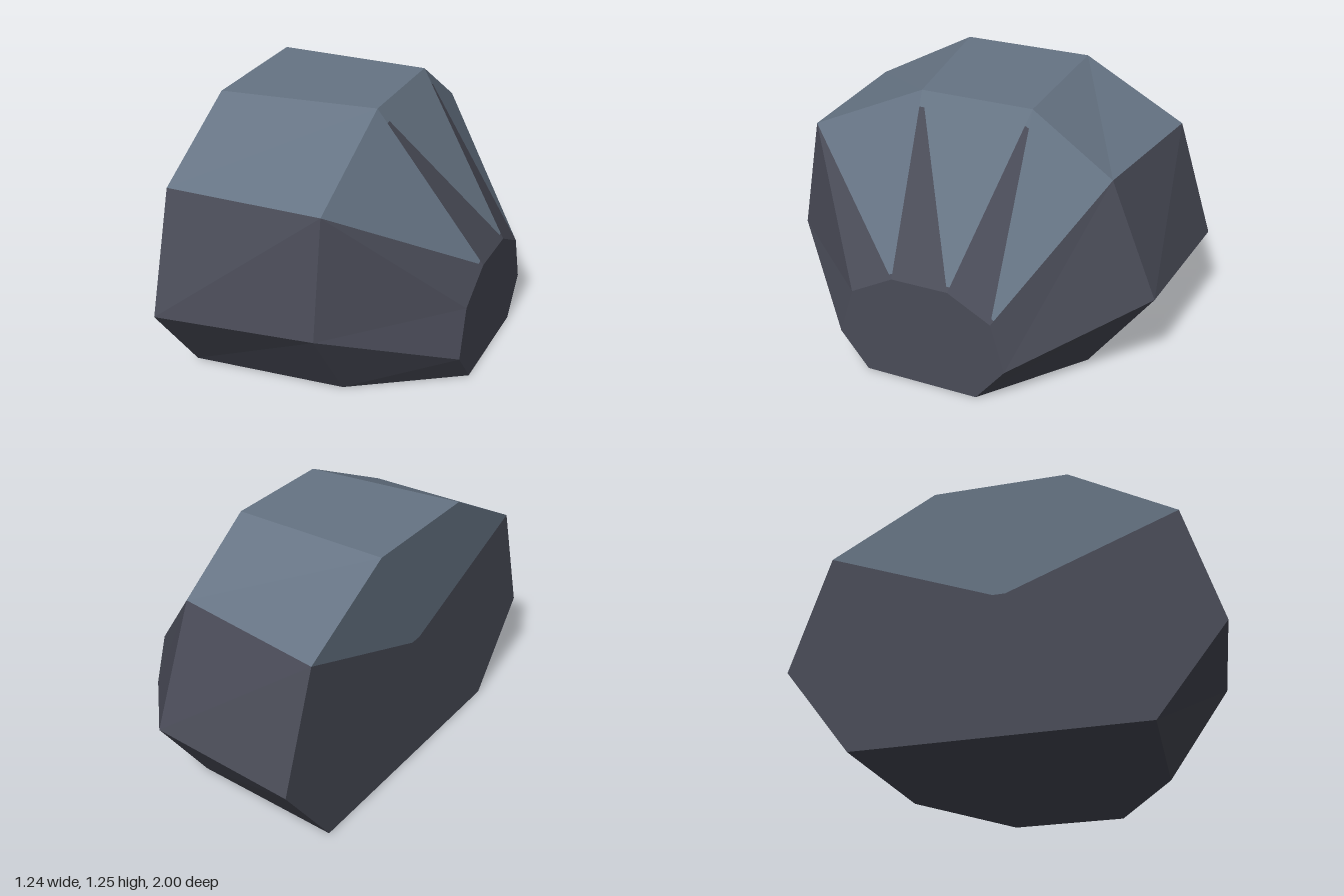
import * as THREE from 'three';

// Cross-sections running from the front bottom edge, over the top, to the back bottom edge
const section = (x, points) => points.map(([z, y]) => new THREE.Vector3(x, y, z));
const wide = section(-0.62, [[0.68, 0], [1, 0.415], [0.82, 0.977], [0.32, 1.25],
  [-0.32, 1.25], [-0.82, 0.977], [-1, 0.415], [-0.68, 0]]);
const middle = section(0.12, [[0.61, 0], [0.895, 0.415], [0.8, 0.977], [0.22, 1.25],
  [-0.33, 1.25], [-0.72, 0.977], [-0.95, 0.415], [-0.645, 0]]);
const narrow = section(0.62, [[0.28, 0], [0.42, 0.175], [0.35, 0.41], [0.14, 0.525],
  [-0.14, 0.525], [-0.35, 0.41], [-0.42, 0.175], [-0.28, 0]]);

export function createModel() {
  const paleStone = new THREE.MeshStandardMaterial({ color: 0x667484 });
  const darkStone = new THREE.MeshStandardMaterial({ color: 0x4a4c58 });
  const pale = [], dark = [];

  const fan = (list, pts) => {
    for (let i = 1; i < pts.length - 1; i++) list.push(pts[0], pts[i], pts[i + 1]);
  };
  // Triangle whose first corner is cut off in the other colour
  const tipped = (list, tipList, tip, b, c, cut) => {
    const tb = tip.clone().lerp(b, cut), tc = tip.clone().lerp(c, cut);
    fan(tipList, [tip, tb, tc]);
    fan(list, [tb, b, c, tc]);
  };

  for (let k = 0; k < 8; k++) {
    const n = (k + 1) % 8;
    const upper = k >= 2 && k <= 4;
    // Straight part of the body
    const body = upper ? pale : dark;
    fan(body, [wide[k], middle[k], middle[n]]);
    fan(body, [wide[k], middle[n], wide[n]]);
    // Tapered part, with pale streaks running down the upper facets
    if (upper) {
      tipped(dark, k === 2 ? dark : pale, middle[k], narrow[k], narrow[n], 0.09);
      tipped(pale, dark, narrow[n], middle[n], middle[k], 0.03);
    } else {
      fan(dark, [middle[k], narrow[k], narrow[n]]);
      fan(dark, [middle[k], narrow[n], middle[n]]);
    }
  }

  // Small end
  fan(dark, [...narrow].reverse());

  // Large end, its pale top dipping to a blunt point in the centre
  const [centre, front, back] = section(-0.62, [[0, 0.6], [0.03, 0.677], [-0.03, 0.677]]);
  const [p0, p1, p2, p3, p4, p5, p6, p7] = wide;
  fan(pale, [p2, p3, p4, p5, back, front]);
  fan(dark, [centre, back, p5, p6, p7, p0, p1, p2, front, back]);

  const group = new THREE.Group();
  group.name = 'rock';
  const add = (name, points, material) => {
    const geometry = new THREE.BufferGeometry().setFromPoints(points);
    geometry.computeVertexNormals(); // unshared corners keep the facets flat
    const mesh = new THREE.Mesh(geometry, material);
    mesh.name = name;
    group.add(mesh);
  };
  paleStone.name = 'paleStone';
  darkStone.name = 'darkStone';
  add('paleTop', pale, paleStone);
  add('darkBase', dark, darkStone);
  return group;
}
